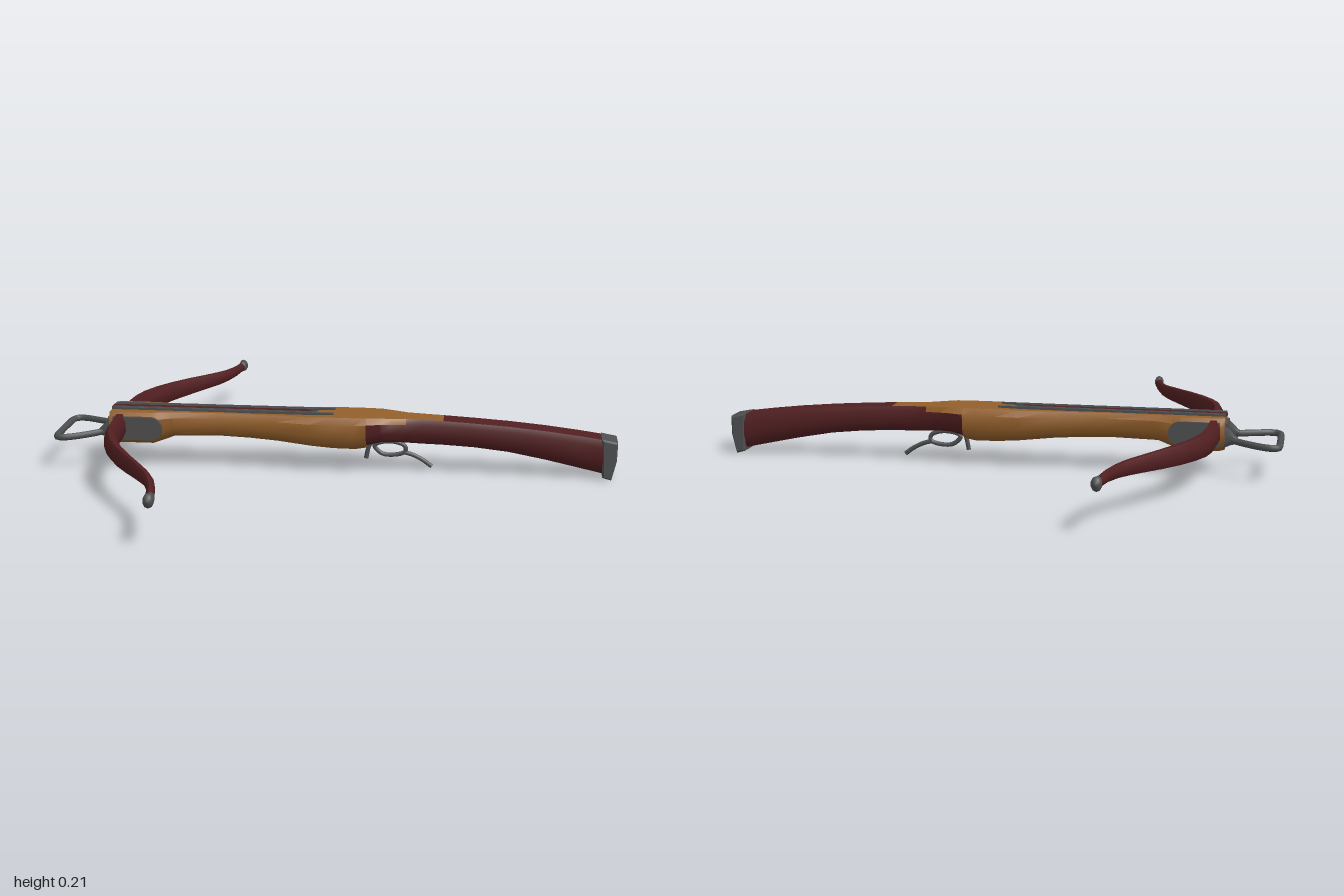
import * as THREE from 'three';
import { toCreasedNormals } from 'three/addons/utils/BufferGeometryUtils.js';

const mat = (name, color) => new THREE.MeshStandardMaterial({ name, color });
const V = (x, y, z) => new THREE.Vector3(x, y, z);

// Skin a series of rings; paint(ring, side) picks the material index of each quad
function loft(rings, paint = () => 0, crease = 0.6) {
  const buckets = [[], []];
  const n = rings[0].length, last = rings.length - 1;
  const tri = (k, ...pts) => pts.forEach(p => buckets[k].push(p.x, p.y, p.z));
  for (let i = 0; i < last; i++) {
    for (let j = 0; j < n; j++) {
      const a = rings[i][j], b = rings[i][(j + 1) % n];
      const c = rings[i + 1][(j + 1) % n], d = rings[i + 1][j];
      const k = paint(i, j);
      tri(k, a, d, c);
      tri(k, a, c, b);
    }
  }
  for (let j = 1; j < n - 1; j++) {
    tri(0, rings[0][0], rings[0][j], rings[0][j + 1]);
    tri(0, rings[last][0], rings[last][j + 1], rings[last][j]);
  }
  const g = new THREE.BufferGeometry();
  g.setAttribute('position', new THREE.Float32BufferAttribute(buckets.flat(), 3));
  const out = toCreasedNormals(g, crease);
  out.clearGroups();
  out.addGroup(0, buckets[0].length / 3, 0);
  if (buckets[1].length) out.addGroup(buckets[0].length / 3, buckets[1].length / 3, 1);
  return out;
}

// Stock cross-section: chamfered belly, full flanks, flat top
const HALF = [[0.5, 0], [0.82, 0.14], [1, 0.42], [1, 0.8], [0.82, 1]];
const SECTION = [...HALF, ...HALF.map(([z, y]) => [-z, y]).reverse()];
const stockRing = ([x, bottom, top, half]) =>
  SECTION.map(([z, y]) => V(x, bottom + y * (top - bottom), z * half - 0.005));

export function createModel() {
  const group = new THREE.Group();
  const lightWood = mat('light wood', 0x94602b);
  const darkWood = mat('dark red wood', 0x521f21);
  const steel = mat('dark steel', 0x4e4f50);

  const add = (name, geometry, material, parent = group) => {
    const m = new THREE.Mesh(geometry, material);
    m.name = name;
    parent.add(m);
    return m;
  };
  const box = (name, size, pos, material) =>
    add(name, new THREE.BoxGeometry(...size), material).position.set(...pos);
  const tube = (name, pts, radius, closed = false, tension = 0.5) =>
    add(name, new THREE.TubeGeometry(
      new THREE.CatmullRomCurve3(pts, closed, 'catmullrom', tension), 64, radius, 8, closed), steel);

  // Fore stock: x, bottom, top, half width
  const fore = [
    [-0.8, 0.09, 0.205, 0.088], [-0.78, 0.085, 0.205, 0.092], [-0.65, 0.085, 0.205, 0.092],
    [-0.62, 0.095, 0.205, 0.085], [-0.57, 0.113, 0.205, 0.074], [-0.4, 0.116, 0.205, 0.067],
    [-0.3, 0.112, 0.204, 0.068], [-0.2, 0.105, 0.204, 0.075], [-0.08, 0.092, 0.204, 0.088],
    [0.0, 0.086, 0.206, 0.09], [0.08, 0.085, 0.206, 0.09], [0.12, 0.092, 0.206, 0.089],
  ];
  add('foreStock', loft(fore.map(stockRing)), lightWood);

  // Butt stock, with the light wood running back along its top
  const butt = [
    [0.12, 0.1, 0.206, 0.089], [0.17, 0.112, 0.206, 0.083], [0.21, 0.113, 0.204, 0.071],
    [0.26, 0.11, 0.201, 0.056], [0.32, 0.107, 0.199, 0.051], [0.39, 0.105, 0.196, 0.049],
    [0.5, 0.099, 0.19, 0.048], [0.62, 0.086, 0.182, 0.048], [0.75, 0.062, 0.17, 0.049],
    [0.86, 0.038, 0.157, 0.049], [0.96, 0.016, 0.143, 0.05],
  ];
  const buttPaint = (i, j) => (i < 5 && j === 4) || (i < 3 && (j === 3 || j === 5)) ? 1 : 0;
  add('buttStock', loft(butt.map(stockRing), buttPaint), [darkWood, lightWood]);

  // Steel butt plate
  const plate = new THREE.Shape([[0.957, 0.012], [0.978, 0.006], [0.993, 0.07], [0.994, 0.132], [0.95, 0.141]]
    .map(([x, y]) => new THREE.Vector2(x, y)));
  const plateGeo = new THREE.ExtrudeGeometry(plate, {
    depth: 0.09, bevelEnabled: true, bevelSize: 0.006, bevelThickness: 0.008, bevelSegments: 1,
  });
  plateGeo.translate(0, 0, -0.05);
  add('buttPlate', plateGeo, steel);

  // Bolt groove and its rails
  box('boltGroove', [0.72, 0.008, 0.036], [-0.445, 0.206, -0.005], darkWood);
  for (const s of [-1, 1]) {
    box('outerRail', [0.8, 0.009, 0.01], [-0.4, 0.208, s * 0.034 - 0.005], steel);
    box('innerRail', [0.74, 0.008, 0.008], [-0.43, 0.208, s * 0.019 - 0.005], steel);
  }

  // Bow: distance along z, x, half thickness, half height
  const limb = [
    [0, -0.762, 0.024, 0.046], [0.1, -0.762, 0.024, 0.045], [0.2, -0.757, 0.024, 0.042],
    [0.28, -0.744, 0.024, 0.039], [0.36, -0.717, 0.023, 0.036], [0.44, -0.677, 0.019, 0.034],
    [0.52, -0.628, 0.016, 0.031], [0.6, -0.575, 0.015, 0.027], [0.66, -0.537, 0.016, 0.024],
    [0.71, -0.513, 0.015, 0.021], [0.78, -0.491, 0.013, 0.018], [0.87, -0.476, 0.013, 0.015],
  ];
  const bow = [...limb.slice(1).reverse().map(([z, ...r]) => [-z, ...r]), ...limb];
  const bowRing = ([z, x, t, h], i, all) => {
    const a = all[Math.max(i - 1, 0)], b = all[Math.min(i + 1, all.length - 1)];
    const angle = Math.atan2(b[1] - a[1], b[0] - a[0]);
    return Array.from({ length: 8 }, (_, k) => {
      const q = (k + 0.5) * Math.PI / 4;
      const u = Math.sin(q) * t * 1.08, v = Math.cos(q) * h * 1.08;
      return V(x + u * Math.cos(angle), 0.154 + v, z - u * Math.sin(angle));
    });
  };
  add('bow', loft(bow.map(bowRing), () => 0, 0.9), darkWood);

  for (const s of [-1, 1]) {
    // Steel caps on the bow tips
    const cap = add('bowTip', new THREE.LatheGeometry(
      [[0, -0.03], [0.015, -0.03], [0.018, -0.01], [0.021, 0.008], [0.017, 0.022], [0, 0.028]]
        .map(([r, y]) => new THREE.Vector2(r, y)), 10), steel);
    cap.scale.set(0.85, 1, 1.15);
    cap.rotation.x = s * Math.PI / 2;
    cap.position.set(-0.475, 0.154, s * 0.882);

    // Side plates with a round rear end, where the bow meets the stock
    const side = new THREE.Shape();
    side.moveTo(-0.785, 0.108);
    side.lineTo(-0.65, 0.108);
    side.absarc(-0.65, 0.15, 0.042, -Math.PI / 2, Math.PI / 2);
    side.lineTo(-0.785, 0.192);
    const sideMesh = add('sidePlate', new THREE.ExtrudeGeometry(side, { depth: 0.012, bevelEnabled: false }), steel);
    sideMesh.position.z = s * 0.09 - 0.011;

    // Flared stirrup mounts
    add('stirrupMount', loft([[-0.845, 0.118, 0.136, 0.012], [-0.82, 0.112, 0.16, 0.014], [-0.795, 0.1, 0.185, 0.014]]
      .map(stockRing)), steel).position.z = s * 0.062;
  }
  box('frontPlate', [0.016, 0.075, 0.12], [-0.802, 0.145, -0.005], steel);

  // Foot stirrup
  const right = [[-0.8, 0.14, 0.055], [-0.835, 0.128, 0.068], [-0.88, 0.124, 0.096], [-0.93, 0.122, 0.124],
    [-0.965, 0.121, 0.132], [-0.985, 0.12, 0.115], [-0.988, 0.12, 0.06]];
  tube('stirrup', [
    ...right.map(([x, y, z]) => V(x, y, z - 0.005)),
    ...right.map(([x, y, z]) => V(x, y, -z - 0.005)).reverse(),
  ], 0.012);

  // Trigger, its guard loop and tail lever
  tube('trigger', [V(0.145, 0.115, -0.005), V(0.125, 0.085, -0.005), V(0.115, 0.04, -0.005)], 0.008);
  tube('guardLoop', [[0.145, 0.085], [0.165, 0.1], [0.21, 0.104], [0.25, 0.092], [0.255, 0.068], [0.22, 0.056], [0.175, 0.058]]
    .map(([x, y]) => V(x, y, -0.005)), 0.008, true);
  tube('leverTail', [V(0.25, 0.066, -0.005), V(0.285, 0.056, -0.005), V(0.32, 0.038, -0.005), V(0.35, 0.016, -0.005)], 0.008);

  return group;
}
